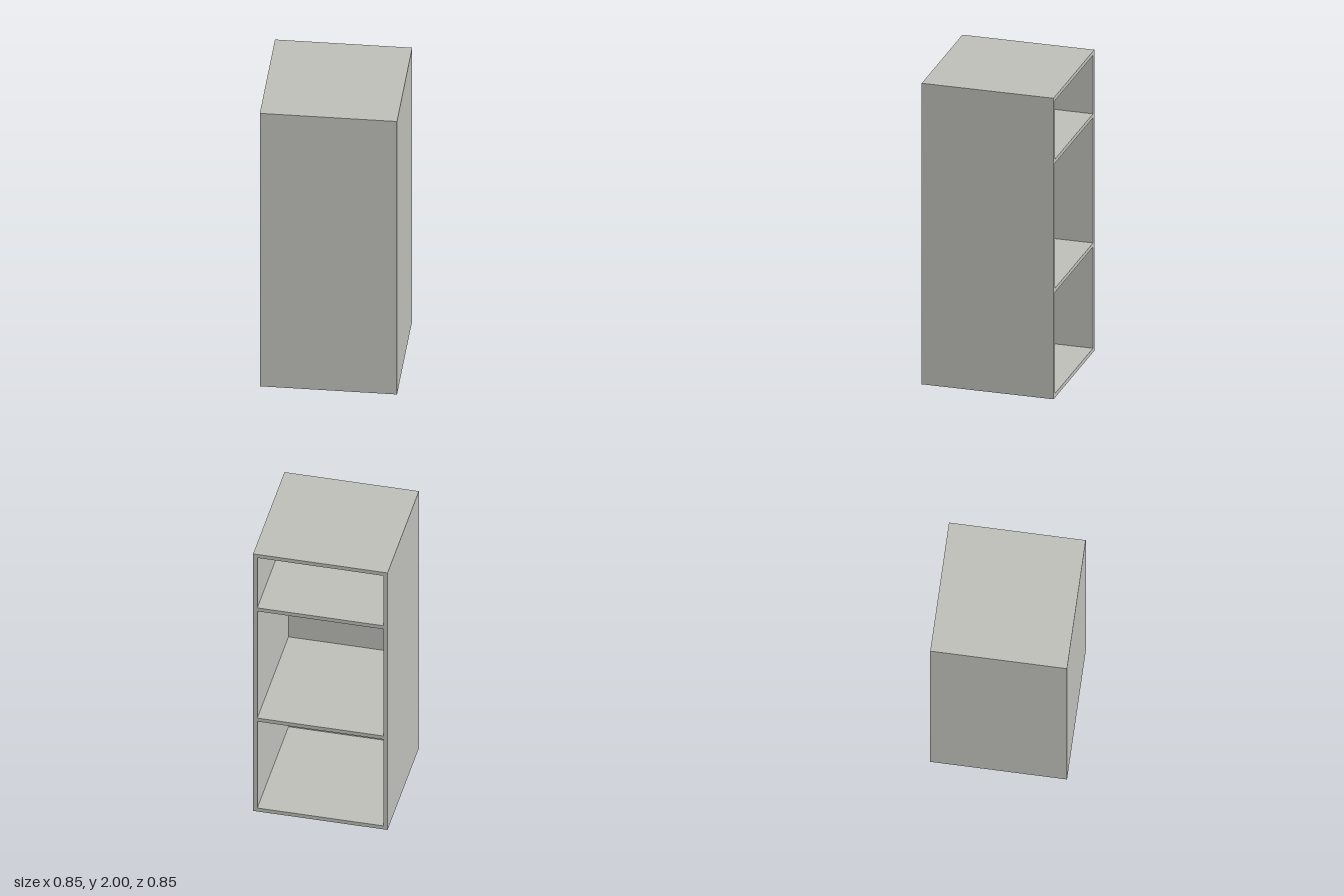
import * as THREE from 'three';

const W = 0.853;      // width and depth
const H = 2;          // height
const T = 0.0267;     // board thickness
const FRONT = 0.005;  // thin front panel

export function createModel() {
  const model = new THREE.Group();
  model.name = 'cabinet';
  const paint = new THREE.MeshStandardMaterial({ color: 0xbfbfba });
  paint.name = 'light grey';

  function board(name, w, h, d, x, y, z) {
    const mesh = new THREE.Mesh(new THREE.BoxGeometry(w, h, d), paint);
    mesh.name = name;
    mesh.position.set(x, y, z);
    model.add(mesh);
  }

  // Closed front; the back (-z) is left open
  board('frontPanel', W, H, FRONT, 0, H / 2, W / 2 - FRONT / 2);

  // Side walls
  const depth = W - FRONT;
  const z = -FRONT / 2;
  for (const [name, side] of [['leftSide', 1], ['rightSide', -1]]) {
    board(name, T, H, depth, side * (W - T) / 2, H / 2, z);
  }

  // Horizontal boards between the sides, by centre height
  const levels = { bottom: T / 2, lowerShelf: 0.713, upperShelf: 1.571, top: H - T / 2 };
  for (const [name, y] of Object.entries(levels)) {
    board(name, W - 2 * T, T, depth, 0, y, z);
  }

  return model;
}
